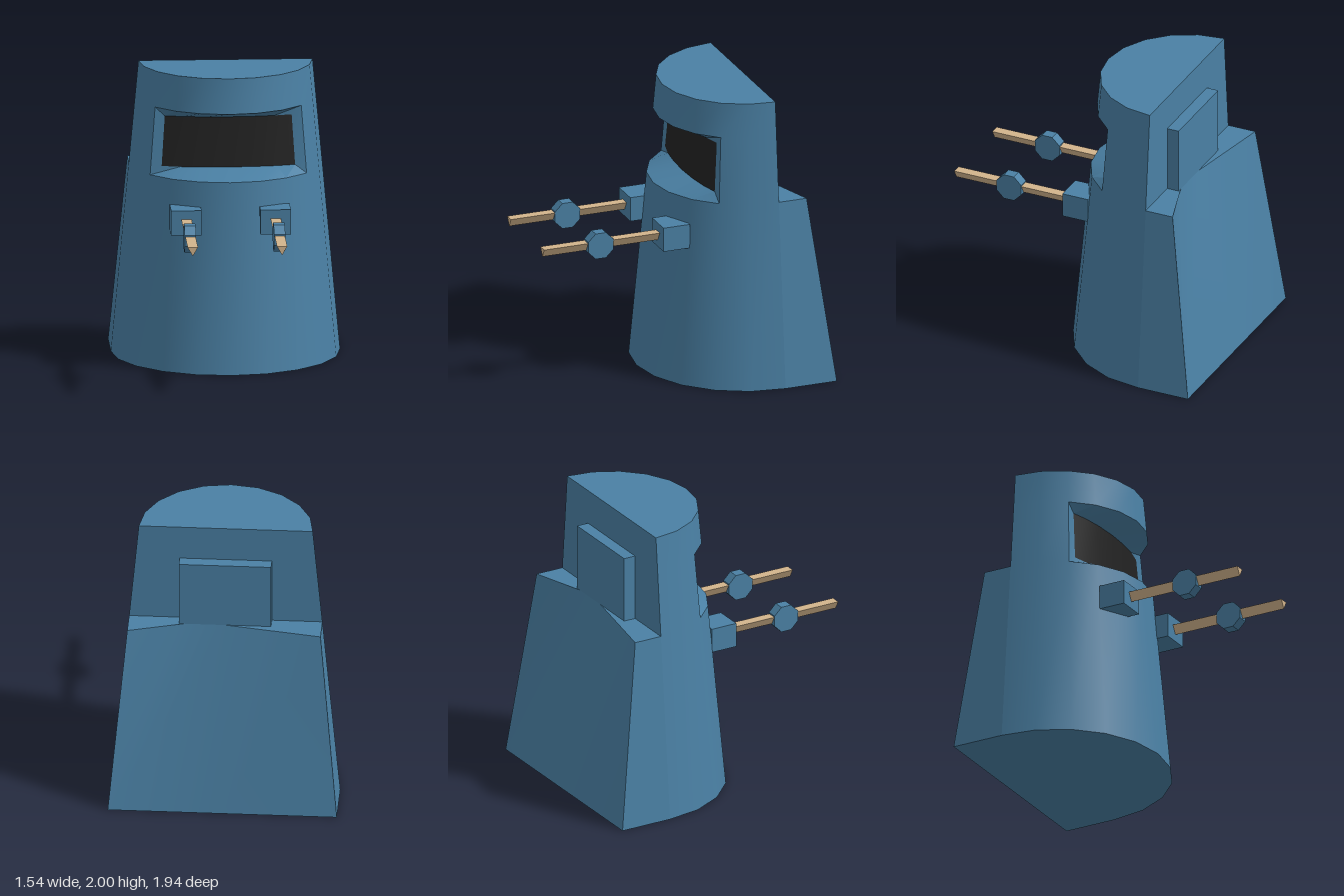
import * as THREE from 'three';
import { toCreasedNormals } from 'three/addons/utils/BufferGeometryUtils.js';

const blue = new THREE.MeshStandardMaterial({ color: 0x4a80a4 });
const dark = new THREE.MeshStandardMaterial({ color: 0x222222 });
const tan = new THREE.MeshStandardMaterial({ color: 0xd2b48c });

const SEG = 10, ZC = -0.6;          // half-round front, 18 degrees per side
const V0 = 2, V1 = 8;               // visor spans these steps of the arc
const Y_SHELF = 1.3, Y_VISOR = 1.76, Y_TOP = 2;
const radius = y => 0.77 - 0.0925 * y;

// point on the tapering half-round shell
function shell(i, y) {
  const a = Math.PI * i / SEG, r = radius(y);
  return [r * Math.cos(a), y, ZC + r * Math.sin(a)];
}

// point on the recessed, flatter visor glass
function glassPoint(i, y) {
  const a = Math.PI * i / SEG, s = Math.sin(Math.PI * V0 / SEG);
  const edge = -0.24 + (1.7 - y) * 0.07;
  return [0.86 * radius(y) * Math.cos(a), y, edge + 0.055 * (Math.sin(a) - s) / (1 - s)];
}

// collects convex polygons, corners counter-clockwise from outside
class Faces {
  constructor() { this.pos = []; }
  poly(...p) {
    for (let k = 1; k < p.length - 1; k++) this.pos.push(...p[0], ...p[k], ...p[k + 1]);
  }
  // the same polygon on both sides of x = 0
  mirrored(...p) {
    this.poly(...p);
    this.poly(...p.map(([x, y, z]) => [-x, y, z]).reverse());
  }
  mesh(name, material) {
    const g = new THREE.BufferGeometry();
    g.setAttribute('position', new THREE.Float32BufferAttribute(this.pos, 3));
    return named(name, toCreasedNormals(g, 0.5), material);
  }
}

function named(name, geometry, material) {
  const m = new THREE.Mesh(geometry, material);
  m.name = name;
  return m;
}

function buildBody() {
  const f = new Faces();
  const rows = [0, Y_SHELF, Y_VISOR, Y_TOP];
  for (let i = 0; i < SEG; i++) {
    // curved wall, open at the visor
    for (let r = 0; r < 3; r++) {
      if (r === 1 && i >= V0 && i < V1) continue;
      f.poly(shell(i + 1, rows[r]), shell(i, rows[r]), shell(i, rows[r + 1]), shell(i + 1, rows[r + 1]));
    }
    // top and underside
    f.poly([0, Y_TOP, ZC], shell(i + 1, Y_TOP), shell(i, Y_TOP));
    f.poly([0, 0, ZC], shell(i, 0), shell(i + 1, 0));
  }
  // flat upper back
  f.poly(shell(0, Y_SHELF), shell(SEG, Y_SHELF), shell(SEG, Y_TOP), shell(0, Y_TOP));
  return f.mesh('body', blue);
}

function buildRearHousing() {
  const f = new Faces();
  const rb = radius(0), rt = radius(Y_SHELF), y = Y_SHELF;
  const b0 = [0, 0, -0.97], b1 = [rb, 0, -0.97];
  const t0 = [0, y, -0.685], t2 = [0.31, y, -0.685], t1 = [rt, y, -0.8];
  f.mirrored(b1, b0, t0, t2, t1);                                     // sloping back
  f.mirrored([rb, 0, ZC], b1, t1, [rt, y, ZC]);                       // side
  f.mirrored([0, y, ZC], [rt, y, ZC], t1, t2, t0);                    // shelf
  f.mirrored(b0, b1, [rb, 0, ZC], [0, 0, ZC]);                        // underside
  return f.mesh('rearHousing', blue);
}

function buildVisor() {
  const visor = new THREE.Group();
  visor.name = 'visor';
  const frame = new Faces(), glass = new Faces();
  const lo = 1.36, hi = 1.7;
  for (let i = V0; i < V1; i++) {
    const j = i + 1;
    frame.poly(shell(j, Y_SHELF), shell(i, Y_SHELF), glassPoint(i, lo), glassPoint(j, lo));
    frame.poly(glassPoint(j, hi), glassPoint(i, hi), shell(i, Y_VISOR), shell(j, Y_VISOR));
    glass.poly(glassPoint(j, lo), glassPoint(i, lo), glassPoint(i, hi), glassPoint(j, hi));
  }
  frame.mirrored(glassPoint(V0, lo), shell(V0, Y_SHELF), shell(V0, Y_VISOR), glassPoint(V0, hi));
  visor.add(frame.mesh('visorFrame', blue), glass.mesh('visorGlass', dark));
  return visor;
}

function buildArm(side) {
  const arm = new THREE.Group();
  arm.name = side > 0 ? 'leftArm' : 'rightArm';
  arm.position.x = side * 0.3;

  const mount = named('armMount', new THREE.BoxGeometry(0.205, 0.17, 0.19), blue);
  mount.position.set(0, 1.045, 0.04);

  // three-sided rod, point down
  const rodGeo = new THREE.CylinderGeometry(0.04, 0.04, 0.85, 3).rotateX(Math.PI / 2).toNonIndexed();
  rodGeo.computeVertexNormals();
  const rod = named('armRod', rodGeo, tan);
  rod.position.set(0, 1.05, 0.545);

  // eight-sided collar across the rod
  const collarGeo = new THREE.CylinderGeometry(0.098, 0.098, 0.076, 8)
    .rotateY(Math.PI / 8).rotateZ(Math.PI / 2).toNonIndexed();
  collarGeo.computeVertexNormals();
  const collar = named('armCollar', collarGeo, blue);
  collar.position.set(0, 1.042, 0.562);

  arm.add(mount, rod, collar);
  return arm;
}

export function createModel() {
  const model = new THREE.Group();
  model.name = 'robot';

  const backPanel = named('backPanel', new THREE.BoxGeometry(0.62, Y_VISOR - Y_SHELF, 0.085), blue);
  backPanel.position.set(0, (Y_VISOR + Y_SHELF) / 2, -0.6425);

  model.add(buildBody(), buildRearHousing(), buildVisor(), backPanel);
  for (const side of [1, -1]) model.add(buildArm(side));
  return model;
}
